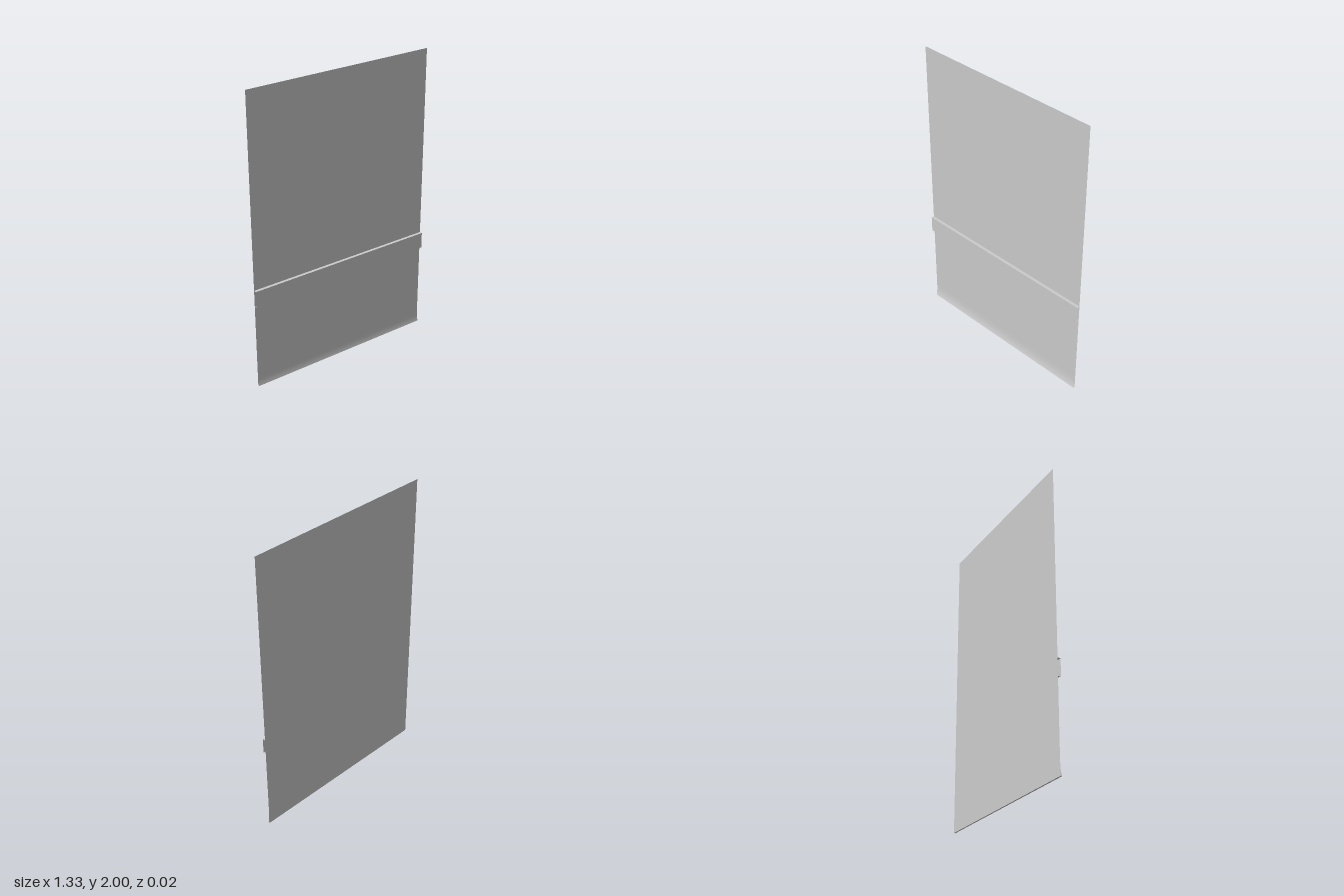
import * as THREE from 'three';

const WIDTH = 1.33;
const BACK = -0.01;
const material = new THREE.MeshStandardMaterial({ color: 0xcccccc, side: THREE.DoubleSide });

// Sweep a [z, y] profile, listed from top to bottom, across the width.
function strip(name, profile) {
  const positions = [];
  const index = [];
  profile.forEach(([z, y], i) => {
    positions.push(-WIDTH / 2, y, z, WIDTH / 2, y, z);
    if (i > 0) {
      const a = 2 * (i - 1);
      index.push(a, a + 2, a + 3, a, a + 3, a + 1);
    }
  });
  const geometry = new THREE.BufferGeometry();
  geometry.setAttribute('position', new THREE.Float32BufferAttribute(positions, 3));
  geometry.setIndex(index);
  geometry.computeVertexNormals();
  const mesh = new THREE.Mesh(geometry, material);
  mesh.name = name;
  return mesh;
}

export function createModel() {
  const group = new THREE.Group();
  group.name = 'wallPanel';

  // Thin flat wall sheet
  group.add(strip('wall', [[BACK, 2], [BACK, 0]]));

  // Horizontal rail: top ledge, flat face and slightly sloping underside
  const rail = new THREE.Group();
  rail.name = 'rail';
  rail.add(
    strip('railTop', [[BACK, 0.705], [0.01, 0.705]]),
    strip('railFace', [[0.01, 0.705], [0.01, 0.595]]),
    strip('railUnderside', [[0.01, 0.595], [BACK, 0.59]])
  );
  group.add(rail);

  // Shallow cove sweeping forward at the foot, with its underside
  const cove = [];
  for (let i = 0; i <= 12; i++) {
    const t = i / 12;
    cove.push([BACK + 0.0005 + 0.0095 * t ** 3, 0.1 * (1 - t)]);
  }
  group.add(strip('baseCove', cove));
  group.add(strip('baseUnderside', [[0, 0], [BACK, 0]]));

  return group;
}
